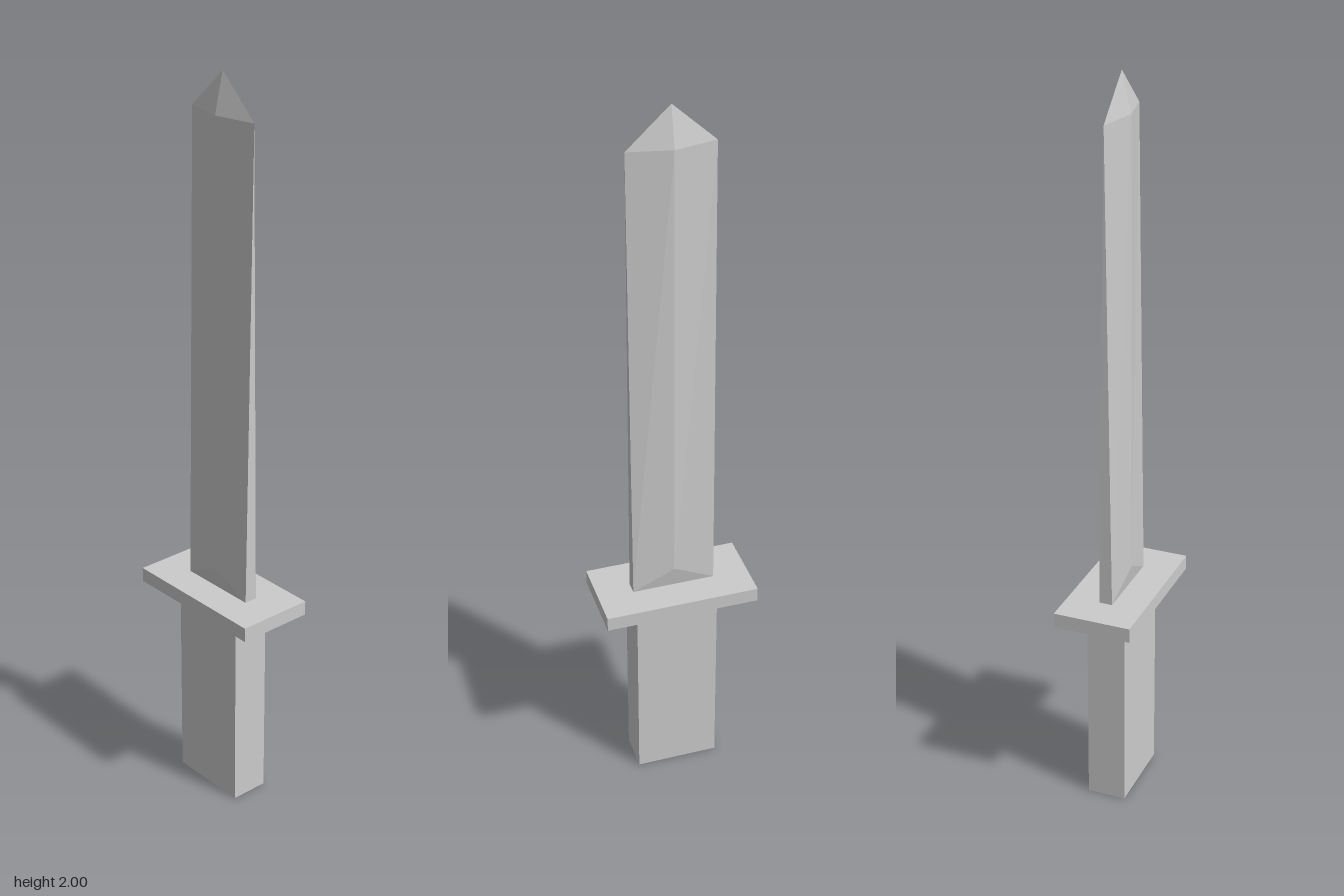
import * as THREE from 'three';

const material = new THREE.MeshStandardMaterial({ color: 0xcccccc, flatShading: true });

function box(name, width, height, depth, bottom) {
  const mesh = new THREE.Mesh(new THREE.BoxGeometry(width, height, depth), material);
  mesh.name = name;
  mesh.position.y = bottom + height / 2;
  return mesh;
}

// Blade: rectangular root, raised ridge on both sides, diamond section below the point
function bladeGeometry() {
  const halfDepth = 0.113, root = 0.018, rootY = 0.61, shoulderY = 1.895;
  const p = {
    rootFront: [root, rootY, halfDepth],
    rootBack: [root, rootY, -halfDepth],
    rootFrontFar: [-root, rootY, halfDepth],
    ridgeLow: [0.028, 0.67, 0],
    ridgeHigh: [0.024, shoulderY, 0],
    edgeFront: [0, shoulderY, halfDepth],
    edgeBack: [0, shoulderY, -halfDepth],
    tip: [0, 2, 0],
  };
  const faces = [
    ['rootFront', 'rootBack', 'ridgeLow'],
    ['rootFront', 'ridgeLow', 'ridgeHigh'],
    ['rootFront', 'ridgeHigh', 'edgeFront'],
    ['ridgeLow', 'rootBack', 'edgeBack'],
    ['ridgeLow', 'edgeBack', 'ridgeHigh'],
    ['edgeFront', 'ridgeHigh', 'tip'],
    ['ridgeHigh', 'edgeBack', 'tip'],
    ['rootFrontFar', 'rootFront', 'edgeFront'],
  ];
  // The second half is the first turned half a revolution about y
  const positions = [];
  for (const s of [1, -1]) {
    for (const name of faces.flat()) {
      const [x, y, z] = p[name];
      positions.push(s * x, y, s * z);
    }
  }
  const geometry = new THREE.BufferGeometry();
  geometry.setAttribute('position', new THREE.Float32BufferAttribute(positions, 3));
  geometry.computeVertexNormals();
  return geometry;
}

export function createModel() {
  const group = new THREE.Group();
  group.name = 'dagger';
  const blade = new THREE.Mesh(bladeGeometry(), material);
  blade.name = 'blade';
  group.add(
    box('handle', 0.106, 0.57, 0.226, 0),
    box('guard', 0.212, 0.04, 0.42, 0.57),
    blade,
  );
  return group;
}
